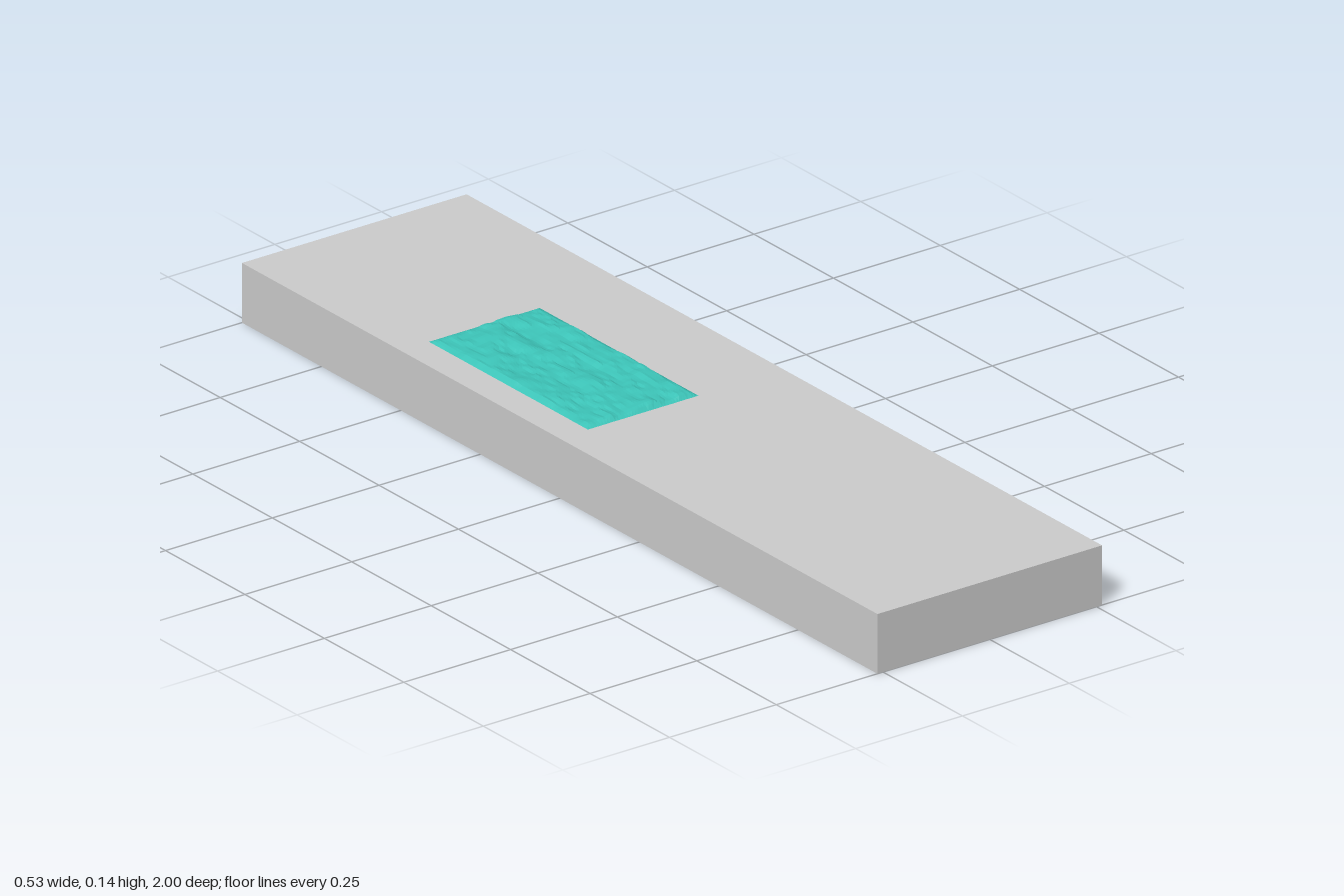
import * as THREE from 'three';

const TOP = 0.123;
const PATCH = { x0: -0.197, x1: 0.062, z0: -0.5, z1: 0 };

// Seeded lattice value in 0..1
function hash(i, j) {
  const s = Math.sin(i * 127.1 + j * 311.7 + 5.3) * 43758.5453;
  return s - Math.floor(s);
}

// Smoothly interpolated value noise
function noise(x, y) {
  const i = Math.floor(x), j = Math.floor(y);
  const u = THREE.MathUtils.smoothstep(x - i, 0, 1);
  const v = THREE.MathUtils.smoothstep(y - j, 0, 1);
  const a = THREE.MathUtils.lerp(hash(i, j), hash(i + 1, j), u);
  const b = THREE.MathUtils.lerp(hash(i, j + 1), hash(i + 1, j + 1), u);
  return THREE.MathUtils.lerp(a, b, v);
}

// Choppy height field, streaked along z and pinned to the slab at its border
function createPatchGeometry() {
  const width = PATCH.x1 - PATCH.x0, depth = PATCH.z1 - PATCH.z0;
  const geometry = new THREE.PlaneGeometry(width, depth, 40, 56);
  geometry.rotateX(-Math.PI / 2);
  geometry.translate((PATCH.x0 + PATCH.x1) / 2, 0, (PATCH.z0 + PATCH.z1) / 2);
  const p = geometry.attributes.position;
  for (let i = 0; i < p.count; i++) {
    const x = p.getX(i), z = p.getZ(i);
    const swell = noise(x * 28, z * 14);
    const chop = noise(x * 90 + 40, z * 45);
    const edge = Math.min(x - PATCH.x0, PATCH.x1 - x, z - PATCH.z0, PATCH.z1 - z);
    const rise = THREE.MathUtils.smoothstep(edge, -0.002, 0.014);
    const side = 0.75 + 0.25 * THREE.MathUtils.smoothstep(x, -0.18, -0.1);
    p.setY(i, TOP + 0.0004 + rise * side * (0.001 + 0.008 * swell + 0.005 * chop));
  }
  const flat = geometry.toNonIndexed();
  flat.computeVertexNormals();
  return flat;
}

export function createModel() {
  const model = new THREE.Group();

  // Plain rectangular slab
  const slab = new THREE.Mesh(
    new THREE.BoxGeometry(0.526, TOP, 2),
    new THREE.MeshStandardMaterial({ color: 0xcccccc })
  );
  slab.name = 'slab';
  slab.position.y = TOP / 2;

  // Rippled teal patch on the slab
  const patch = new THREE.Mesh(
    createPatchGeometry(),
    new THREE.MeshStandardMaterial({ color: 0x3cc4b8, flatShading: true, side: THREE.DoubleSide })
  );
  patch.name = 'rippledPatch';

  model.add(slab, patch);
  return model;
}
